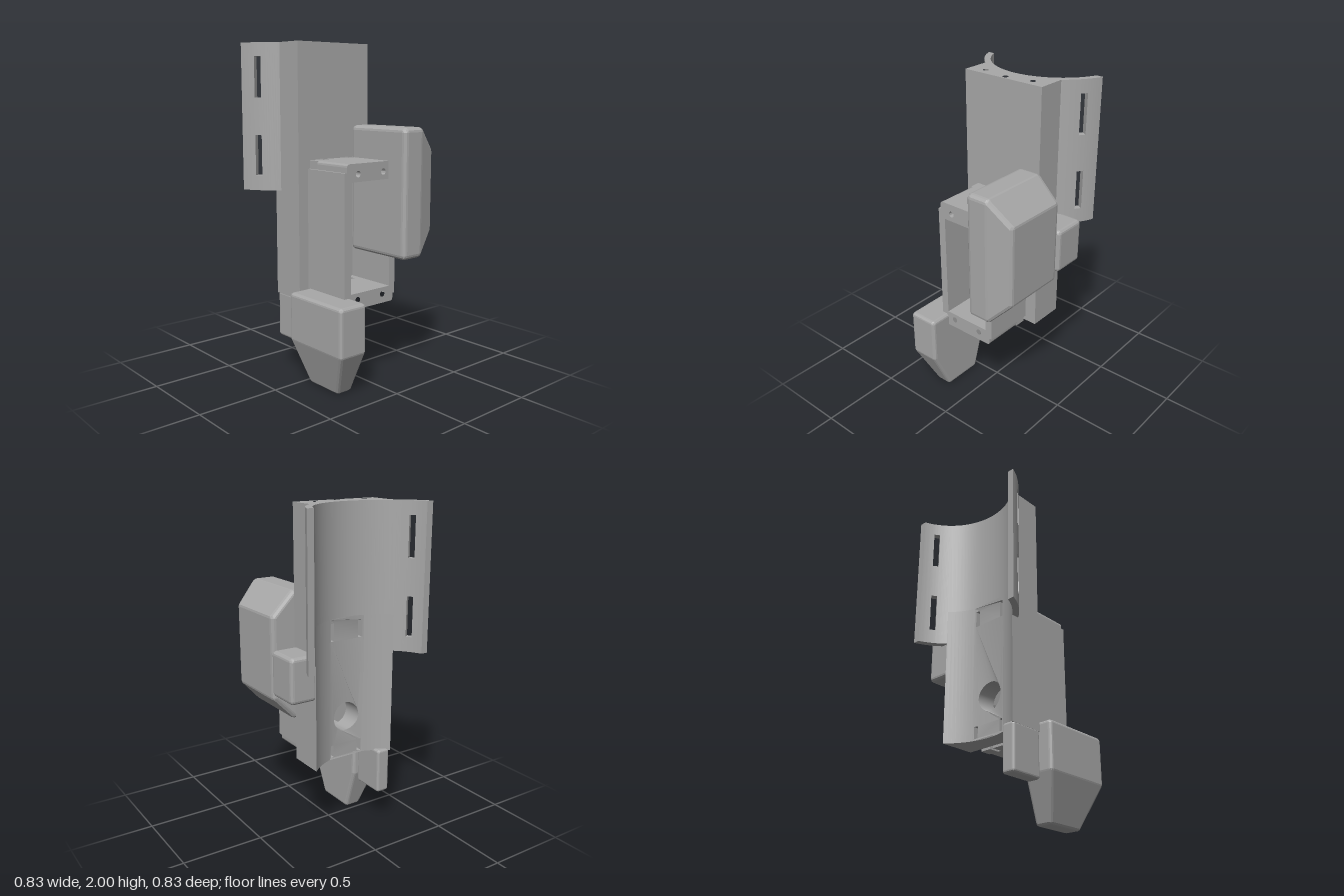
import * as THREE from 'three';
import { toCreasedNormals } from 'three/addons/utils/BufferGeometryUtils.js';
import { ConvexGeometry } from 'three/addons/geometries/ConvexGeometry.js';

const CX = -0.565, CZ = 0.005;      // axis of the cradle arc
const R_IN = 0.398, R_OUT = 0.436;  // cradle wall radii
const FACE = -0.05;                 // flat mounting face of the column

const grey = new THREE.MeshStandardMaterial({ color: 0xa8a8a8 });
grey.name = 'grey';

const arcX = (z) => CX + Math.sqrt(R_IN * R_IN - (z - CZ) ** 2);
const steps = (a, b, n) => Array.from({ length: n + 1 }, (_, i) => a + ((b - a) * i) / n);

function circle(x, y, r) {
  const p = new THREE.Path();
  p.absarc(x, y, r, 0, Math.PI * 2, true);
  return p;
}

function rectPath(x0, x1, y0, y1) {
  return new THREE.Path([[x0, y0], [x0, y1], [x1, y1], [x1, y0]].map((p) => new THREE.Vector2(...p)));
}

// Upright prism from [x, z] outline points
function prismY(points, y0, y1, holes = []) {
  const shape = new THREE.Shape(points.map(([x, z]) => new THREE.Vector2(x, -z)));
  shape.holes = holes;
  const g = new THREE.ExtrudeGeometry(shape, { depth: y1 - y0, bevelEnabled: false, curveSegments: 20 });
  g.rotateX(-Math.PI / 2).translate(0, y0, 0);
  return toCreasedNormals(g, 0.4);
}

// Prism along x from a shape drawn in (-z, y)
function prismX(shape, x0, x1) {
  const g = new THREE.ExtrudeGeometry(shape, { depth: x1 - x0, bevelEnabled: false, curveSegments: 24 });
  return g.rotateY(Math.PI / 2).translate(x0, 0, 0);
}

// Rounded convex body: hull of small spheres set in from the corners
function roundedHull(corners, r) {
  const c = new THREE.Vector3();
  corners.forEach((p) => c.add(new THREE.Vector3(...p)));
  c.divideScalar(corners.length);
  const ball = new THREE.OctahedronGeometry(r, 2).attributes.position;
  const pts = [];
  for (const p of corners) {
    const inset = p.map((v, i) => v - Math.sign(v - c.getComponent(i)) * r);
    for (let i = 0; i < ball.count; i++) {
      pts.push(new THREE.Vector3().fromBufferAttribute(ball, i).add(new THREE.Vector3(...inset)));
    }
  }
  return new ConvexGeometry(pts);
}

const rectY = (x0, x1, z0, z1, y) => [[x0, y, z0], [x1, y, z0], [x1, y, z1], [x0, y, z1]];
const rectZ = (x0, x1, y0, y1, z) => [[x0, y0, z], [x1, y0, z], [x1, y1, z], [x0, y1, z]];

export function createModel() {
  const model = new THREE.Group();
  const add = (name, geometry, parent = model) => {
    const m = new THREE.Mesh(geometry, grey);
    m.name = name;
    parent.add(m);
    return m;
  };
  const box = (name, x0, x1, y0, y1, z0, z1, parent) =>
    add(name, new THREE.BoxGeometry(x1 - x0, y1 - y0, z1 - z0), parent)
      .position.set((x0 + x1) / 2, (y0 + y1) / 2, (z0 + z1) / 2);

  // Column with concave back: solid top with screw holes, pierced middle strip below
  const column = new THREE.Group();
  column.name = 'column';
  model.add(column);
  const section = (z0, z1, n) => [[FACE, z0], [FACE, z1], ...steps(z1, z0, n).map((z) => [arcX(z), z])];
  const screwHoles = [[-0.107, -0.162], [-0.077, 0.005], [-0.107, 0.172]].map(([x, z]) => circle(x, -z, 0.017));
  add('columnTop', prismY(section(-0.265, 0.275, 28), 1.35, 2, screwHoles), column);
  add('columnRearSide', prismY(section(-0.265, -0.115, 8), 0.49, 1.35), column);
  add('columnFrontSide', prismY(section(0.125, 0.275, 8), 0.49, 1.35), column);

  const strip = new THREE.Shape([
    ...steps(-0.125, 0.115, 12).map((u) => new THREE.Vector2(u, 0.49)),
    ...steps(0.115, -0.125, 12).map((u) => new THREE.Vector2(u, 1.35)),
  ]);
  strip.holes.push(circle(-0.01, 0.74, 0.088));
  for (const [u0, u1] of [[-0.116, -0.09], [0.08, 0.105]]) {
    strip.holes.push(rectPath(u0, u1, 0.5, 0.575), rectPath(u0, u1, 1.22, 1.325));
  }
  const stripGeo = prismX(strip, FACE - 0.1, FACE);
  const pos = stripGeo.attributes.position;
  for (let i = 0; i < pos.count; i++) {
    if (pos.getX(i) < -0.1) pos.setX(i, arcX(pos.getZ(i)));
  }
  add('columnMiddle', toCreasedNormals(stripGeo, 0.4), column);

  // Curved cradle wings with strap slots
  const on = (r, a, s) => [CX + r * Math.cos(a), CZ + s * r * Math.sin(a)];
  for (const s of [1, -1]) {
    const wing = new THREE.Group();
    wing.name = s > 0 ? 'frontWing' : 'rearWing';
    model.add(wing);
    const piece = (name, out0, out1, in0, in1, y0, y1) => add(name, prismY([
      ...steps(out0, out1, 8).map((a) => on(R_OUT, a, s)),
      ...steps(in1, in0, 8).map((a) => on(R_IN, a, s)),
    ], y0, y1), wing);
    const slot0 = 0.928, slot1 = 1.02;
    piece('wingRoot', Math.asin(0.27 / R_OUT), slot0, Math.asin(0.27 / R_IN), slot0, 1.13, 2);
    piece('wingTip', slot1, Math.acos(0.15 / R_OUT), slot1, Math.acos(0.15 / R_IN), 1.13, 2);
    for (const [y0, y1] of [[1.13, 1.22], [1.46, 1.68], [1.92, 2]]) {
      piece('slotBridge', slot0, slot1, slot0, slot1, y0, y1);
    }
  }

  // Open bracket: two side walls between notched end plates
  const bracket = new THREE.Group();
  bracket.name = 'bracket';
  model.add(bracket);
  box('frontWall', FACE, 0.278, 0.52, 1.27, 0.16, 0.207, bracket);
  box('rearWall', FACE, 0.278, 0.52, 1.27, -0.19, -0.145, bracket);
  for (const [y0, y1, top] of [[1.215, 1.32, true], [0.475, 0.57, false]]) {
    const u0 = -0.19, u1 = 0.175, r = 0.02;
    const outer = top ? y1 : y0, inner = top ? y0 : y1, d = top ? r : -r;
    const plate = new THREE.Shape();
    plate.moveTo(u0, inner);
    plate.lineTo(u1, inner);
    plate.lineTo(u1, outer - d);
    plate.quadraticCurveTo(u1, outer, u1 - r, outer);
    plate.lineTo(u0 + r, outer);
    plate.quadraticCurveTo(u0, outer, u0, outer - d);
    plate.closePath();
    const holeY = top ? 1.26 : 0.53;
    plate.holes.push(circle(-0.106, holeY, 0.018), circle(0.09, holeY, 0.018));
    add('endPlate', toCreasedNormals(prismX(plate, 0.017, 0.278), 0.4), bracket);
    for (const [z0, z1] of [[-0.175, -0.105], [-0.08, 0.09], [0.116, 0.19]]) {
      box('plateTab', FACE, 0.017, y0, y1, z0, z1, bracket);
    }
  }

  // Large rear housing, tapering backwards
  add('rearHousing', roundedHull([
    ...rectZ(FACE, 0.413, 0.745, 1.515, -0.13),
    ...rectZ(FACE, 0.413, 0.745, 1.515, -0.235),
    ...rectZ(FACE, 0.372, 0.87, 1.395, -0.411),
  ], 0.028));

  // Front housing, tapering downwards
  add('frontHousing', roundedHull([
    ...rectY(FACE, 0.413, 0.16, 0.351, 0.55),
    ...rectY(FACE, 0.413, 0.16, 0.351, 0.29),
    ...rectY(0.028, 0.295, 0.16, 0.274, 0),
  ], 0.02));

  // Small blocks behind and below the column
  add('rearBlock', roundedHull([
    ...rectZ(-0.265, FACE, 0.92, 1.19, -0.42), ...rectZ(-0.265, FACE, 0.92, 1.19, -0.25),
  ], 0.022));
  add('lowerBlock', roundedHull([
    ...rectY(-0.265, FACE, 0.19, 0.275, 0.22), ...rectY(-0.265, FACE, 0.19, 0.275, 0.5),
  ], 0.015));

  return model;
}
